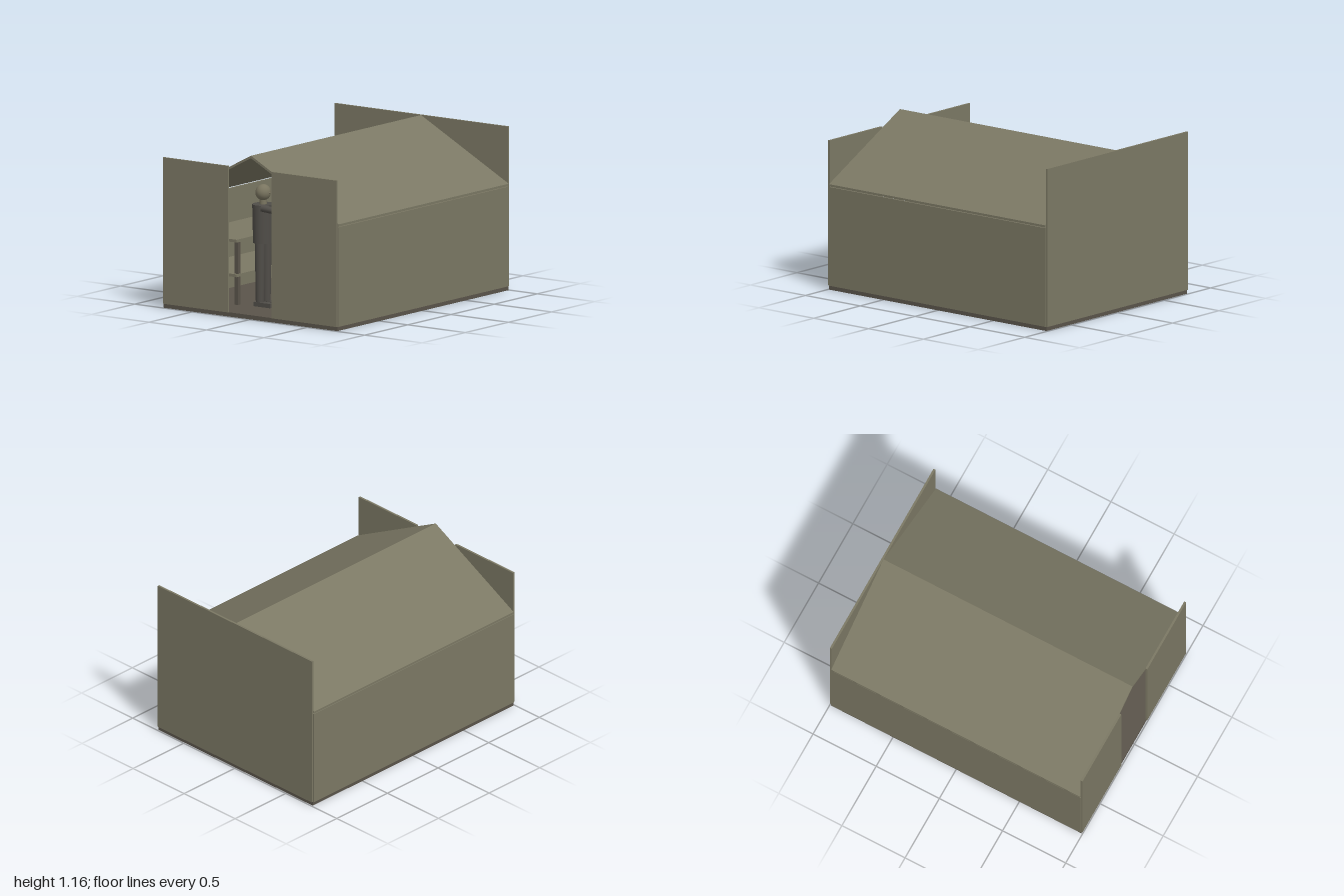
import * as THREE from 'three';

const mat = (name, color) => {
  const m = new THREE.MeshStandardMaterial({ color });
  m.name = name;
  return m;
};

export function createModel() {
  const model = new THREE.Group();
  model.name = 'hut';
  const wall = mat('olive boards', 0x7b7864);
  const base = mat('dark brown', 0x5a544a);
  const cloth = mat('dark cloth', 0x504d48);
  const skin = mat('skin', 0x7a7560);

  const add = (name, geo, material, parent = model) => {
    const mesh = new THREE.Mesh(geo, material);
    mesh.name = name;
    parent.add(mesh);
    return mesh;
  };
  // Box given by its min and max on each axis
  const box = (name, [x0, x1], [y0, y1], [z0, z1], material, parent) => {
    const m = add(name, new THREE.BoxGeometry(x1 - x0, y1 - y0, z1 - z0), material, parent);
    m.position.set((x0 + x1) / 2, (y0 + y1) / 2, (z0 + z1) / 2);
    return m;
  };
  // Tapered limb between two points
  const limb = (name, a, b, r0, r1, material, parent) => {
    const p = new THREE.Vector3(...a), q = new THREE.Vector3(...b);
    const m = add(name, new THREE.CylinderGeometry(r1, r0, p.distanceTo(q), 12), material, parent);
    m.position.copy(p).add(q).multiplyScalar(0.5);
    m.quaternion.setFromUnitVectors(new THREE.Vector3(0, 1, 0), q.sub(p).normalize());
    return m;
  };

  // Shell: floor and walls
  box('floor', [-0.755, 0.755], [0, 0.03], [-0.99, 0.99], base);
  box('backWall', [-0.755, 0.755], [0.03, 1.158], [-1, -0.985], wall);
  for (const s of [-1, 1]) {
    const side = s > 0 ? 'left' : 'right';
    box(side + 'FrontWall', s > 0 ? [0.19, 0.755] : [-0.755, -0.19], [0.03, 1.065], [0.985, 1], wall);
    box(side + 'SideWall', s > 0 ? [0.75, 0.763] : [-0.763, -0.75], [0.03, 0.735], [-0.988, 0.988], wall);

    // Roof slope
    const slope = new THREE.Shape([[0, 1.157], [0.763, 0.755], [0.763, 0.739], [0, 1.139]]
      .map(([x, y]) => new THREE.Vector2(s * x, y)));
    const roof = new THREE.ExtrudeGeometry(slope, { depth: 1.97, bevelEnabled: false });
    add(side + 'Roof', roof, wall).position.z = -0.985;

    // Two-level bunks along each side wall
    const run = s > 0 ? [0.3, 0.75] : [-0.75, -0.3];
    for (const y of [0.23, 0.475]) box(side + 'BunkDeck', run, [y, y + 0.02], [-0.98, 0.75], wall);
    for (const z of [-0.4, 0.15, 0.7])
      box(side + 'BunkPost', [s * 0.32 - 0.015, s * 0.32 + 0.015], [0.03, 0.475], [z, z + 0.03], base);
  }

  // Shelf and bench at the far end, with a low stove on the aisle
  box('endShelf', [-0.3, 0.3], [0.475, 0.495], [-0.985, -0.75], wall);
  box('benchBack', [-0.3, 0.3], [0.25, 0.335], [-0.8, -0.78], base);
  box('stove', [-0.11, 0.11], [0.03, 0.225], [-0.6, 0.1], base);
  box('stovePlate', [-0.1, 0.1], [0.225, 0.24], [-0.6, -0.05], wall);
  box('stoveKnob', [-0.015, 0.015], [0.225, 0.265], [0, 0.03], wall);

  // Figure facing +x, origin at the feet; h = hip, t = shoulder, c = head centre
  const figure = (name, { h, t, c, r, w, d, leg, foot }) => {
    const g = new THREE.Group();
    g.name = name;
    model.add(g);
    const torso = add('torso', new THREE.CylinderGeometry(1, 0.92, t - h, 16), cloth, g);
    torso.scale.set(w, 1, d);
    torso.position.y = (t + h) / 2;
    add('neck', new THREE.CylinderGeometry(r * 0.4, r * 0.45, c - t, 12), skin, g).position.y = (c + t) / 2;
    const head = add('head', new THREE.SphereGeometry(r, 16, 12), skin, g);
    head.scale.x = 0.95;
    head.position.y = c;
    limb('nose', [r * 0.85, c, 0], [r * 1.15, c, 0], r * 0.12, r * 0.06, skin, g);
    for (const z of [-1, 1]) {
      limb('leg', [0, 0.02, z * d * 0.45], [0, h, z * d * 0.45], leg * 0.8, leg, cloth, g);
      box('foot', [-leg, foot], [0, 0.03], [z * d * 0.45 - leg * 0.8, z * d * 0.45 + leg * 0.8], cloth, g);
    }
    return g;
  };

  // Adult with one arm stretched out
  const adult = figure('adult', { h: 0.445, t: 0.718, c: 0.8, r: 0.057, w: 0.072, d: 0.085, leg: 0.036, foot: 0.11 });
  adult.position.set(-0.16, 0.03, 0.63);
  limb('raisedArm', [0.05, 0.705, 0.08], [0.29, 0.668, 0.04], 0.026, 0.017, cloth, adult);
  limb('hand', [0.28, 0.668, 0.04], [0.345, 0.66, 0.035], 0.012, 0.005, skin, adult);
  limb('loweredArm', [0, 0.7, -0.09], [0.02, 0.42, -0.095], 0.024, 0.018, cloth, adult);
  limb('hand', [0.02, 0.42, -0.095], [0.025, 0.37, -0.095], 0.015, 0.01, skin, adult);

  // Child facing the adult
  const child = figure('child', { h: 0.33, t: 0.53, c: 0.595, r: 0.04, w: 0.05, d: 0.07, leg: 0.03, foot: 0.08 });
  child.position.set(0.13, 0.03, 0.6);
  child.rotation.y = Math.PI;
  for (const z of [-1, 1]) {
    limb('arm', [z * 0.035, 0.52, z * 0.07], [z * 0.052, 0.32, z * 0.075], 0.02, 0.014, cloth, child);
    const hand = add('hand', new THREE.SphereGeometry(0.014, 10, 8), skin, child);
    hand.position.set(z * 0.052, 0.31, z * 0.075);
  }
  return model;
}
